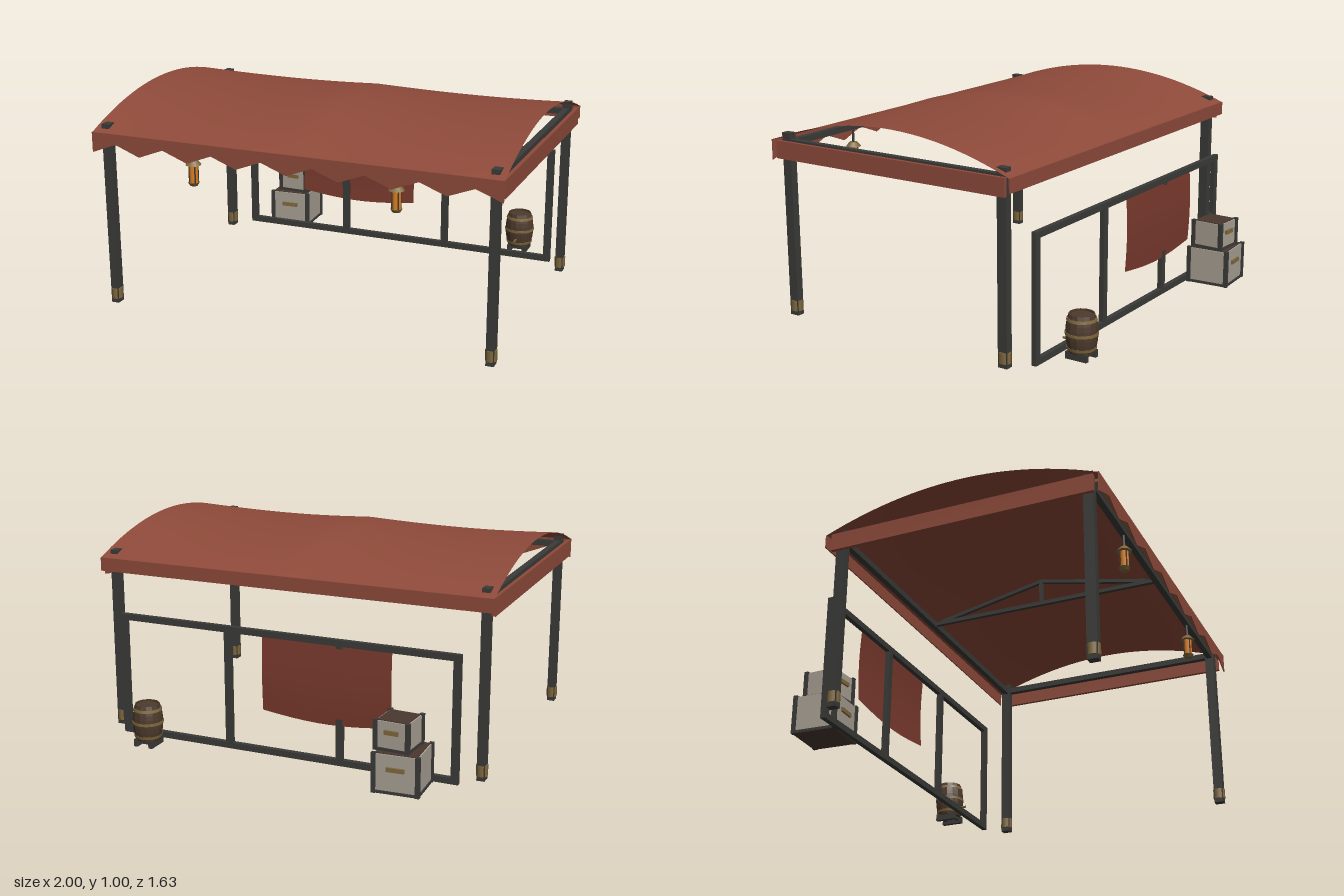
import * as THREE from 'three';

const mat = (color, side = THREE.FrontSide, flatShading = false) => {
  const m = new THREE.MeshStandardMaterial({ color, side });
  m.flatShading = flatShading;
  return m;
};
const iron = mat(0x3a3a38), brass = mat(0x80683c), red = mat(0x8e4a3a, THREE.DoubleSide);
const clothRed = mat(0x7a3a2e, THREE.DoubleSide), panel = mat(0xa89f92), lid = mat(0x4a3830);
const wood = mat(0x4d3a2c, THREE.FrontSide, true), glow = mat(0xe08020);

function add(parent, name, geometry, material, x = 0, y = 0, z = 0) {
  const mesh = new THREE.Mesh(geometry, material);
  mesh.name = name;
  mesh.position.set(x, y, z);
  parent.add(mesh);
  return mesh;
}
const box = (p, name, m, w, h, d, x, y, z) => add(p, name, new THREE.BoxGeometry(w, h, d), m, x, y, z);
const cyl = (p, name, m, rt, rb, h, n, x, y, z) =>
  add(p, name, new THREE.CylinderGeometry(rt, rb, h, n), m, x, y, z);

function group(parent, name, x = 0, y = 0, z = 0, turn = 0) {
  const g = new THREE.Group();
  g.name = name;
  g.position.set(x, y, z);
  g.rotation.y = turn;
  parent.add(g);
  return g;
}

// Moves every vertex of a plane grid by a rule of its (u, v) in 0..1
function sheet(nu, nv, rule) {
  const g = new THREE.PlaneGeometry(1, 1, nu, nv);
  const p = g.attributes.position;
  for (let i = 0; i < p.count; i++) p.setXYZ(i, ...rule(p.getX(i) + 0.5, p.getY(i) + 0.5));
  g.computeVertexNormals();
  return g;
}

// Square bar between two points in the y-z plane
function brace(p, name, x, z0, y0, z1, y1, t) {
  const bar = box(p, name, iron, t, t, Math.hypot(z1 - z0, y1 - y0), x, (y0 + y1) / 2, (z0 + z1) / 2);
  bar.rotation.x = -Math.atan2(y1 - y0, z1 - z0);
}

function buildLantern(parent, x) {
  const g = group(parent, 'lantern', x, 0, 0.755);
  cyl(g, 'lanternHook', iron, 0.006, 0.006, 0.08, 6, 0, 0.8, 0);
  cyl(g, 'lanternCap', brass, 0.02, 0.038, 0.022, 8, 0, 0.759, 0);
  cyl(g, 'lanternGlass', glow, 0.021, 0.021, 0.09, 8, 0, 0.705, 0);
  cyl(g, 'lanternBase', brass, 0.028, 0.018, 0.016, 8, 0, 0.656, 0);
  for (let i = 0; i < 4; i++) {
    const a = Math.PI / 4 + i * Math.PI / 2;
    box(g, 'lanternBar', iron, 0.005, 0.09, 0.005, 0.021 * Math.cos(a), 0.705, 0.021 * Math.sin(a));
  }
}

function buildCrate(parent, x, y, z, w, h, turn) {
  const g = group(parent, 'crate', x, y, z, turn);
  const r = w / 2 - 0.01;
  box(g, 'cratePanels', panel, w - 0.016, h - 0.012, w - 0.016, 0, h / 2, 0);
  box(g, 'crateLid', lid, w - 0.03, 0.006, w - 0.03, 0, h - 0.005, 0);
  box(g, 'crateFloor', lid, w - 0.01, 0.008, w - 0.01, 0, 0.004, 0);
  for (const s of [-1, 1]) {
    for (const t of [-1, 1]) box(g, 'cratePost', iron, 0.02, h, 0.02, s * r, h / 2, t * r);
    box(g, 'crateBottomRail', iron, w, 0.012, 0.012, 0, 0.008, s * (r + 0.002));
    box(g, 'crateSideRail', iron, 0.012, 0.012, w, s * (r + 0.002), 0.008, 0);
    box(g, 'crateHandle', brass, w * 0.38, 0.02, 0.012, 0, h * 0.62, s * (r + 0.006));
  }
}

function buildBarrel(parent, x, z) {
  const g = group(parent, 'barrel', x, 0, z);
  const radius = y => 0.074 - 0.015 * ((y - 0.12) / 0.09) ** 2;
  const profile = [new THREE.Vector2(0, 0.03)];
  for (let i = 0; i <= 8; i++) profile.push(new THREE.Vector2(radius(0.03 + i * 0.0225), 0.03 + i * 0.0225));
  profile.push(new THREE.Vector2(0.052, 0.21), new THREE.Vector2(0.052, 0.202), new THREE.Vector2(0, 0.202));
  add(g, 'barrelStaves', new THREE.LatheGeometry(profile, 14), wood);
  for (const y of [0.05, 0.12, 0.185])
    cyl(g, 'barrelHoop', brass, radius(y + 0.006) + 0.003, radius(y - 0.006) + 0.003, 0.013, 14, 0, y, 0);
  for (const s of [-1, 1]) {
    box(g, 'barrelFoot', iron, 0.02, 0.035, 0.11, s * 0.04, 0.0175, 0);
    box(g, 'barrelStretcher', iron, 0.1, 0.015, 0.015, 0, 0.022, s * 0.035);
  }
  const tap = cyl(g, 'barrelTap', brass, 0.006, 0.006, 0.03, 6, 0, 0.075, 0.083);
  tap.rotation.x = Math.PI / 2;
}

export function createModel() {
  const model = new THREE.Group();
  model.name = 'marketStall';

  // Corner posts with brass feet
  for (const x of [-0.95, 0.95]) for (const z of [-0.47, 0.755]) {
    const g = group(model, 'cornerPost', x, 0, z);
    box(g, 'post', iron, 0.038, 0.9, 0.048, 0, 0.45, 0);
    const collar = new THREE.CylinderGeometry(0.03, 0.03, 0.052, 8);
    collar.rotateY(Math.PI / 8);
    add(g, 'brassFoot', collar, brass, 0, 0.047, 0).scale.set(0.9, 1, 1.04);
  }

  // Roof beams and brass rod
  for (const z of [-0.47, 0.755]) box(model, 'crossBeam', iron, 1.9, 0.03, 0.03, 0, 0.85, z);
  for (const x of [-0.95, 0.95]) box(model, 'sideBeam', iron, 0.03, 0.03, 1.225, x, 0.855, 0.1425);
  box(model, 'brassRod', brass, 1.94, 0.014, 0.014, 0, 0.845, 0.795);

  // Middle truss
  const truss = group(model, 'roofTruss');
  box(truss, 'tieBeam', iron, 0.02, 0.02, 1.225, 0, 0.852, 0.1425);
  box(truss, 'kingPost', iron, 0.018, 0.13, 0.018, 0, 0.915, 0.14);
  for (const s of [-1, 1]) brace(truss, 'rafter', 0, 0.14 + s * 0.56, 0.86, 0.14, 0.978, 0.018);

  // Arched canopy, sagging between the ends and the truss
  add(model, 'canopy', sheet(32, 28, (u, v) => {
    const x = u * 2 - 1, t = 1 - 2 * v, k = 1 - t * t;
    return [x, 0.865 + k * (0.135 - 0.022 * Math.abs(Math.sin(Math.PI * x))), 0.14 + 0.675 * t];
  }), red);

  // Zigzag front valance
  const v = new THREE.Shape();
  v.moveTo(-1, 0.868);
  for (let i = 0; i <= 16; i++) v.lineTo(-1 + i * 0.125, i % 2 ? 0.818 : 0.77);
  v.lineTo(1, 0.868);
  add(model, 'frontValance', new THREE.ExtrudeGeometry(v, { depth: 0.005, bevelEnabled: false }), red, 0, 0, 0.813);
  box(model, 'backValance', red, 2, 0.066, 0.006, 0, 0.834, -0.533);
  for (const x of [-0.99, 0.99]) box(model, 'sideValance', red, 0.018, 0.085, 1.295, x, 0.8225, 0.1425);

  for (const x of [-0.5, 0.5]) buildLantern(model, x);

  // Back frame
  const frame = group(model, 'backFrame', 0, 0, -0.57);
  for (const y of [0.015, 0.595]) box(frame, 'rail', iron, 1.74, 0.03, 0.025, 0, y, 0);
  for (const x of [-0.855, -0.29, 0.285, 0.855]) box(frame, 'upright', iron, 0.035, 0.61, 0.024, x, 0.305, 0);

  // Hanging cloth with a curved hem
  add(model, 'hangingCloth', sheet(16, 12, (u, w) => {
    const hem = 0.222 - 0.027 * Math.sin(Math.PI * u);
    return [-0.55 + 0.65 * u, hem + w * (0.6 - hem), -0.58 - 0.008 * Math.sin(Math.PI * w)];
  }), clothRed);

  // Goods behind the frame
  buildCrate(model, -0.65, 0, -0.695, 0.225, 0.19, 0.05);
  buildCrate(model, -0.63, 0.19, -0.695, 0.175, 0.143, -0.06);
  buildBarrel(model, 0.67, -0.69);

  return model;
}
